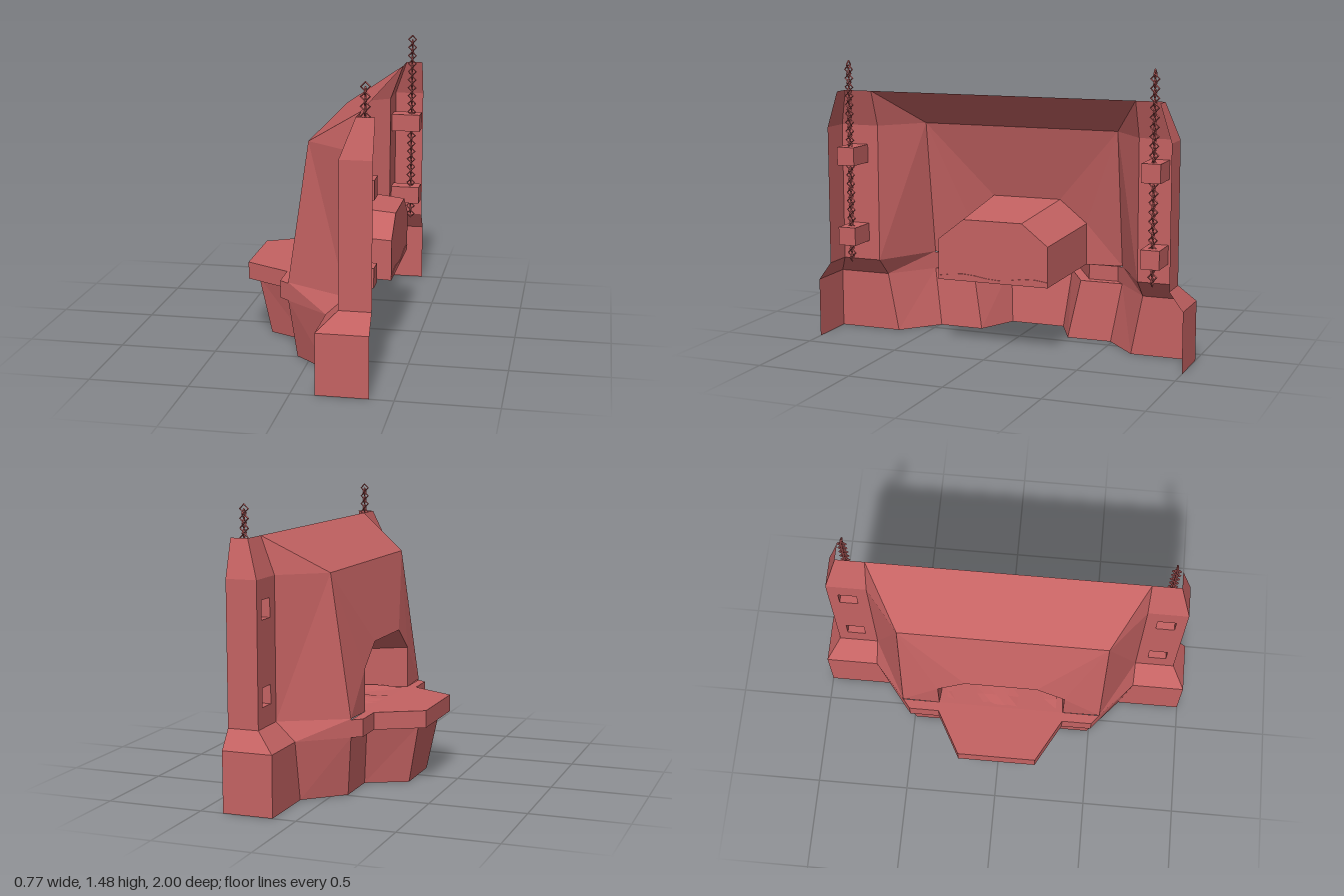
import * as THREE from 'three';

const material = new THREE.MeshStandardMaterial({ color: 0xc46262, flatShading: true, side: THREE.DoubleSide });

function mesh(name, geometry) {
  const m = new THREE.Mesh(geometry, material);
  m.name = name;
  return m;
}

// Polygons of the +z half, fanned, faced away from the core point and mirrored in z
function mirroredPanels(name, polygons, core = [0.5, 0.5, 0], inward = false) {
  const positions = [];
  const centre = new THREE.Vector3(...core);
  for (const polygon of polygons) {
    for (let i = 1; i < polygon.length - 1; i++) {
      let tri = [polygon[0], polygon[i], polygon[i + 1]].map(p => new THREE.Vector3(...p));
      const normal = new THREE.Triangle(...tri).getNormal(new THREE.Vector3());
      if ((normal.dot(tri[0].clone().sub(centre)) < 0) !== inward) tri.reverse();
      for (const p of tri) positions.push(p.x, p.y, p.z);
      for (const p of tri.reverse()) positions.push(p.x, p.y, -p.z);
    }
  }
  const g = new THREE.BufferGeometry();
  g.setAttribute('position', new THREE.Float32BufferAttribute(positions, 3));
  g.computeVertexNormals();
  return mesh(name, g);
}

const ring = (y, outline) => outline.map(([x, z]) => [x, y, z]);

// Quads joining two rings with equal point counts
function band(a, b) {
  return a.slice(1).map((p, i) => [a[i], p, b[i + 1], b[i]]);
}

export function createModel() {
  const group = new THREE.Group();
  group.name = 'forge';

  // Flared plinth and its sloping shoulder
  const foot = ring(0, [[0.38, 1], [0.12, 1], [0.12, 0.66], [-0.07, 0.49], [-0.07, 0.25], [-0.28, 0.15], [-0.28, 0]]);
  const plinthTop = ring(0.31, [[0.38, 1], [0.12, 1], [0.12, 0.72], [-0.105, 0.54], [-0.105, 0.31], [-0.34, 0.18], [-0.34, 0]]);
  const wallFoot = ring(0.405, [[0.38, 0.93], [0.22, 0.93], [0.22, 0.72], [-0.105, 0.54]]);
  group.add(mirroredPanels('plinth', band(foot, plinthTop)));
  group.add(mirroredPanels('plinthShoulder', band(plinthTop.slice(0, 4), wallFoot)));

  // Projecting hearth shelf
  const shelfOutline = [[-0.105, 0.54], [-0.155, 0.5], [-0.155, 0.34], [-0.39, 0.21], [-0.39, 0]];
  const low = ring(0.31, shelfOutline), high = ring(0.4, shelfOutline);
  group.add(mirroredPanels('hearthShelf', [
    ...band(low, high),
    [[-0.105, 0.4, 0], ...high],
    [low[0], low[1], low[2], plinthTop[4]],
    [plinthTop[4], low[2], low[3], plinthTop[5]],
    [plinthTop[5], low[3], low[4], plinthTop[6]],
  ], [-0.15, 0.36, 0]));

  // Hood with an arched opening
  const brow = [0, 1.13, 0.54], browMid = [0, 1.13, 0];
  const jambFoot = [-0.105, 0.4, 0.34], jambTop = [-0.105, 0.62, 0.34];
  const archTop = [-0.105, 0.74, 0.19], archMid = [-0.105, 0.74, 0];
  const pillarInnerTop = [0.22, 1.13, 0.72], hoodCorner = [0.29, 1.32, 0.72];
  group.add(mirroredPanels('hood', [
    [wallFoot[3], jambFoot, jambTop],
    [wallFoot[3], jambTop, brow],
    [jambTop, archTop, brow],
    [archTop, archMid, browMid, brow],
    [brow, browMid, [0.29, 1.32, 0], hoodCorner],
    [wallFoot[2], wallFoot[3], brow, pillarInnerTop],
    [brow, hoodCorner, pillarInnerTop],
  ]));

  // Tapering niche behind the opening
  const front = [[-0.105, 0.4, 0], jambFoot, jambTop, archTop, archMid];
  const back = [[0.38, 0.37, 0], [0.38, 0.37, 0.3], [0.38, 0.58, 0.3], [0.38, 0.69, 0.16], [0.38, 0.69, 0]];
  group.add(mirroredPanels('fireNiche', [...band(front, back), back], [0.1, 0.5, 0], true));

  // Uneven ember bed in the niche
  const bed = new THREE.PlaneGeometry(0.49, 0.6, 7, 9).rotateX(-Math.PI / 2).translate(0.14, 0, 0);
  const p = bed.attributes.position;
  for (let i = 0; i < p.count; i++) {
    const x = p.getX(i), z = p.getZ(i);
    p.setY(i, 0.398 + 0.012 * Math.sin(z * 17 + 2) * Math.cos(x * 11 - 0.5));
  }
  bed.computeVertexNormals();
  group.add(mesh('emberBed', bed));

  // Pillar ends and chamfered caps
  const shaftTop = ring(1.13, [[0.38, 0.93], [0.22, 0.93], [0.22, 0.72]]);
  const capTop = ring(1.32, [[0.38, 0.87], [0.29, 0.87], [0.29, 0.72]]);
  group.add(mirroredPanels('pillarSides', [
    ...band(wallFoot.slice(0, 2), shaftTop.slice(0, 2)),
    ...band(shaftTop, capTop),
  ]));

  for (const side of [1, -1]) {
    const pillar = new THREE.Group();
    pillar.name = side > 0 ? 'leftPillar' : 'rightPillar';

    // Pillar face pierced by two windows
    const rect = (Type, z0, z1, y0, y1) => new Type(
      [[z0, y0], [z1, y0], [z1, y1], [z0, y1]].map(([z, y]) => new THREE.Vector2(z * side, y)));
    const face = rect(THREE.Shape, 0.72, 0.93, 0.405, 1.13);
    for (const y of [0.555, 0.98]) {
      face.holes.push(rect(THREE.Path, 0.78, 0.877, y - 0.048, y + 0.048));
      // Hollow box behind each window, open to the outside
      const box = new THREE.BoxGeometry(0.16, 0.096, 0.097).toNonIndexed();
      for (const key of ['position', 'normal', 'uv']) {
        const a = box.attributes[key];
        const kept = [...a.array.slice(0, 6 * a.itemSize), ...a.array.slice(12 * a.itemSize)];
        box.setAttribute(key, new THREE.Float32BufferAttribute(kept, a.itemSize));
      }
      pillar.add(mesh('windowBox', box.translate(0.3, y, 0.8285 * side)));
    }
    pillar.add(mesh('pillarFace', new THREE.ShapeGeometry(face).rotateY(-Math.PI / 2).translate(0.22, 0, 0)));

    // Hanging chain of diamond links, alternately turned
    const chain = new THREE.Group();
    chain.name = 'chain';
    const linkGeometry = new THREE.TorusGeometry(0.022, 0.0045, 4, 4);
    for (let i = 0; i < 45; i++) {
      const link = mesh('chainLink', linkGeometry);
      link.position.set(0.327, 0.435 + i * 0.0232, 0.828 * side);
      link.rotation.y = (i % 2) * Math.PI / 2;
      chain.add(link);
    }
    pillar.add(chain);
    group.add(pillar);
  }
  return group;
}
